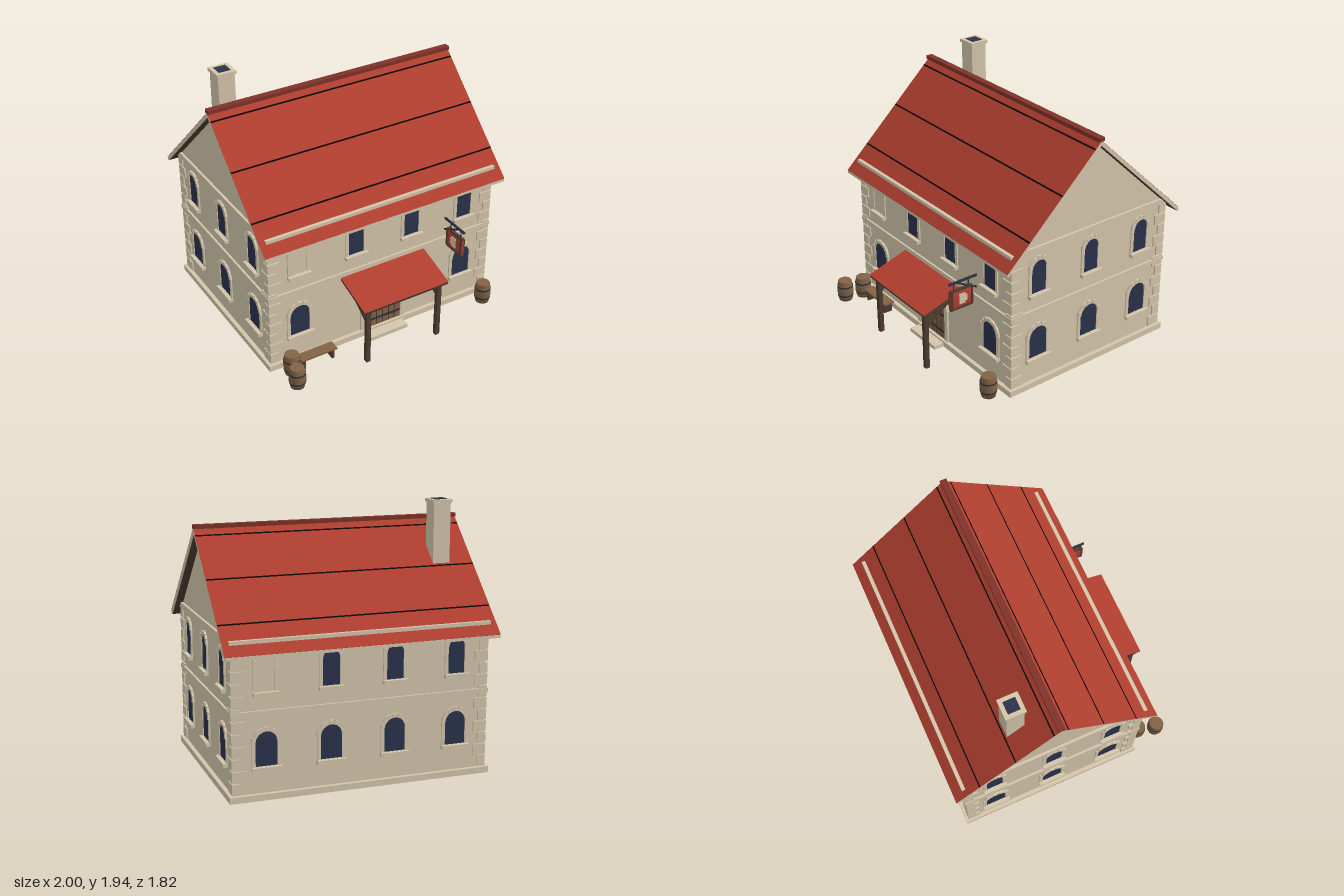
import * as THREE from 'three';

const mat = (name, color) => {
  const m = new THREE.MeshStandardMaterial({ color });
  m.name = name;
  return m;
};

export function createModel() {
  const stone = mat('stone', 0xd3c5ab), red = mat('roof red', 0xb03e2f), darkRed = mat('ridge red', 0x7e3128);
  const wood = mat('wood', 0x826245), darkWood = mat('dark wood', 0x4d3c30);
  const glass = mat('glass', 0x2a324a), iron = mat('iron', 0x2b313d), black = mat('seam black', 0x080606);
  const root = new THREE.Group();
  root.name = 'inn';
  const ZC = -0.12, HX = 0.934, HZ = 0.7;

  const add = (parent, name, geo, material, x = 0, y = 0, z = 0) => {
    const m = new THREE.Mesh(geo, material);
    m.name = name;
    m.position.set(x, y, z);
    parent.add(m);
    return m;
  };
  const group = (name, parent = root) => {
    const g = new THREE.Group();
    g.name = name;
    parent.add(g);
    return g;
  };
  const box = (parent, name, material, w, h, d, x, y, z) =>
    add(parent, name, new THREE.BoxGeometry(w, h, d), material, x, y, z);
  // profile of [z, y] points extruded along x, centred on x
  const prism = (parent, name, material, pts, len, x = 0) => {
    const s = new THREE.Shape(pts.map(p => new THREE.Vector2(p[0], p[1])));
    const g = new THREE.ExtrudeGeometry(s, { depth: len, bevelEnabled: false });
    g.translate(0, 0, -len / 2).rotateY(-Math.PI / 2);
    return add(parent, name, g, material, x);
  };
  // round-headed outline; total height h, standing at y0
  const arch = (w, h, y0 = 0, Type = THREE.Shape) => {
    const r = w / 2, s = new Type();
    s.moveTo(-r, y0);
    s.lineTo(r, y0);
    s.lineTo(r, h - r);
    s.absarc(0, h - r, r, 0, Math.PI, false);
    s.lineTo(-r, y0);
    return s;
  };
  const extrude = (shape, depth) => new THREE.ExtrudeGeometry(shape, { depth, bevelEnabled: false, curveSegments: 10 });
  const surround = (parent, w, h, t, depth) => {
    const outer = arch(w + 2 * t, h + t);
    outer.holes.push(arch(w, h, 0.002, THREE.Path));
    add(parent, 'surround', extrude(outer, depth), stone);
    // raised arch stones
    const r = w / 2 + t * 0.58;
    for (let i = 0; i < 7; i++) {
      const a = Math.PI * (i + 0.5) / 7;
      const b = box(parent, 'archStone', stone, t * 1.15, r * 0.38, depth + 0.006,
        Math.cos(a) * r, h - w / 2 + Math.sin(a) * r, (depth + 0.006) / 2);
      b.rotation.z = a;
    }
  };

  // walls with gables, plinth and string courses
  prism(root, 'walls', stone, [[ZC - HZ, 0], [ZC + HZ, 0], [ZC + HZ, 1.08], [ZC, 1.74], [ZC - HZ, 1.08]], HX * 2);
  box(root, 'plinth', stone, 1.93, 0.045, 1.46, 0, 0.0225, ZC);
  box(root, 'stringCourse', stone, 1.9, 0.03, 1.43, 0, 0.615, ZC);
  box(root, 'cornice', stone, 1.905, 0.04, 1.445, 0, 1.1, ZC);

  // corner stones, long and short in turn
  const quoins = group('quoins');
  for (const sx of [-1, 1]) for (const sz of [-1, 1]) for (let i = 0; i < 12; i++) {
    const w = i % 2 ? 0.1 : 0.065, d = i % 2 ? 0.065 : 0.1;
    box(quoins, 'quoin', stone, w, 0.078, d, sx * (0.945 - w / 2), 0.09 + i * 0.0865, ZC + sz * (0.71 - d / 2));
  }

  // windows
  const addWindow = (x, y, z, rot, upper, blind) => {
    const g = group('window');
    g.position.set(x, y, z);
    g.rotation.y = rot;
    const w = upper ? 0.125 : 0.155, h = upper ? 0.255 : 0.247, t = 0.026;
    add(g, 'pane', extrude(arch(w, h), 0.004), blind ? stone : glass);
    surround(g, w, h, t, 0.01);
    box(g, 'sill', stone, w + 0.058, 0.026, 0.034, 0, -0.013, 0.017);
  };
  const columns = [-0.7, -0.235, 0.235, 0.7];
  for (const upper of [false, true]) {
    const y = upper ? 0.757 : 0.235;
    columns.forEach((x, i) => {
      if (upper || i === 0 || i === 3) addWindow(x, y, ZC + HZ, 0, upper, upper && i === 0);
      addWindow(x, y, ZC - HZ, Math.PI, upper, upper && i === 3);
    });
    for (const dz of [-0.47, 0, 0.47]) for (const s of [-1, 1]) addWindow(s * HX, y, ZC + dz, s * Math.PI / 2, upper, false);
  }

  // roof: pale slab edges, red tiles with fine seams on top, dark soffit below
  const roof = group('roof');
  const roofY = d => 1.776 - 0.943 * d;
  for (const s of [-1, 1]) {
    const band = (d0, d1, lo, hi) => [
      [ZC + s * d0, roofY(d0) + lo], [ZC + s * d1, roofY(d1) + lo],
      [ZC + s * d1, roofY(d1) + hi], [ZC + s * d0, roofY(d0) + hi]];
    prism(roof, 'roofSlab', stone, band(0, 0.778, -0.035, -0.002), 1.998);
    prism(roof, 'roofTiles', red, band(0, 0.788, -0.002, 0), 2);
    prism(roof, 'soffit', darkWood, band(0, 0.775, -0.038, -0.035), 1.98);
    for (const d of [0.053, 0.33, 0.603]) prism(roof, 'tileSeam', black, band(d - 0.004, d + 0.004, -0.001, 0.001), 1.998);
    box(roof, 'eavesBoard', stone, 1.998, 0.022, 0.012, 0, 1.019, ZC + s * 0.781);
  }
  box(roof, 'ridge', darkRed, 2, 0.028, 0.05, 0, 1.783, ZC);

  // chimney
  const chimney = group('chimney');
  box(chimney, 'stack', stone, 0.13, 0.52, 0.13, -0.752, 1.66, -0.37);
  box(chimney, 'cap', stone, 0.15, 0.024, 0.15, -0.752, 1.926, -0.37);
  box(chimney, 'flue', glass, 0.09, 0.005, 0.09, -0.752, 1.939, -0.37);

  // door with planks and straps
  const door = group('door');
  door.position.set(0, 0.035, ZC + HZ);
  add(door, 'doorLeaf', extrude(arch(0.312, 0.42), 0.008), wood);
  surround(door, 0.312, 0.42, 0.037, 0.015);
  for (const x of [-0.105, -0.053, 0, 0.053, 0.105]) box(door, 'plankGap', darkWood, 0.007, 0.26, 0.004, x, 0.145, 0.01);
  for (const y of [0.075, 0.215]) box(door, 'strap', iron, 0.3, 0.016, 0.006, 0, y, 0.012);
  add(door, 'pullRing', new THREE.TorusGeometry(0.014, 0.003, 6, 14), iron, 0.015, 0.19, 0.014);
  box(root, 'doorStep', stone, 0.32, 0.03, 0.1, 0, 0.015, 0.64);

  // porch
  const porch = group('porch');
  prism(porch, 'canopyBoards', darkWood, [[0.58, 0.558], [0.9, 0.46], [0.905, 0.479], [0.58, 0.578]], 0.71);
  prism(porch, 'canopyTiles', red, [[0.58, 0.578], [0.905, 0.479], [0.907, 0.483], [0.58, 0.583]], 0.715);
  box(porch, 'beam', darkWood, 0.7, 0.026, 0.034, 0, 0.453, 0.86);
  for (const s of [-1, 1]) {
    box(porch, 'post', darkWood, 0.034, 0.455, 0.034, s * 0.303, 0.2275, 0.86);
    prism(porch, 'brace', darkWood, [[0.85, 0.345], [0.85, 0.372], [0.58, 0.555], [0.58, 0.528]], 0.024, s * 0.303);
  }

  // hanging sign: bulged panel, framed on both faces
  const sign = group('hangingSign');
  sign.position.set(0.542, 0, -0.002);
  box(sign, 'bracketArm', iron, 0.014, 0.014, 0.24, 0, 0.79, 0.702);
  prism(sign, 'bracketBrace', iron, [[0.58, 0.685], [0.76, 0.782], [0.76, 0.794], [0.58, 0.699]], 0.01);
  for (const z of [0.655, 0.78]) box(sign, 'hanger', iron, 0.006, 0.06, 0.006, 0, 0.76, z);
  const lens = new THREE.Shape();
  lens.absellipse(0, 0, 0.015, 0.078, 0, Math.PI * 2);
  add(sign, 'signPanel', extrude(lens, 0.184), red, 0, 0.655, 0.626);
  for (const e of [-1, 1]) {
    box(sign, 'signFrame', darkWood, 0.022, 0.015, 0.186, 0, 0.655 + e * 0.072, 0.718);
    for (const z of [0.633, 0.803]) box(sign, 'signFrame', darkWood, 0.008, 0.135, 0.016, e * 0.013, 0.655, z);
    box(sign, 'mug', stone, 0.006, 0.082, 0.052, e * 0.014, 0.655, 0.717);
    box(sign, 'mugHandle', stone, 0.006, 0.05, 0.02, e * 0.014, 0.655, 0.685);
  }

  // barrels with hoops
  const staves = [[0, 0], [0.052, 0], [0.06, 0.04], [0.064, 0.083], [0.06, 0.126], [0.052, 0.166]].map(p => new THREE.Vector2(...p));
  const staveGeo = new THREE.LatheGeometry(staves, 18);
  for (const [x, z] of [[-0.83, 0.69], [-0.866, 0.833], [0.842, 0.708]]) {
    const b = group('barrel');
    b.position.set(x, 0, z);
    add(b, 'staves', staveGeo, wood);
    add(b, 'lid', new THREE.CylinderGeometry(0.052, 0.052, 0.004, 18), wood, 0, 0.165, 0);
    for (const [y, r0, r1] of [[0.045, 0.0605, 0.0615], [0.121, 0.0615, 0.0605]])
      add(b, 'hoop', new THREE.CylinderGeometry(r1 + 0.001, r0 + 0.001, 0.012, 18), iron, 0, y, 0);
  }

  // bench
  const bench = group('bench');
  box(bench, 'benchSeat', wood, 0.295, 0.014, 0.085, -0.617, 0.083, 0.675);
  for (const x of [-0.735, -0.5]) box(bench, 'benchLeg', darkWood, 0.018, 0.076, 0.07, x, 0.038, 0.675);

  return root;
}
